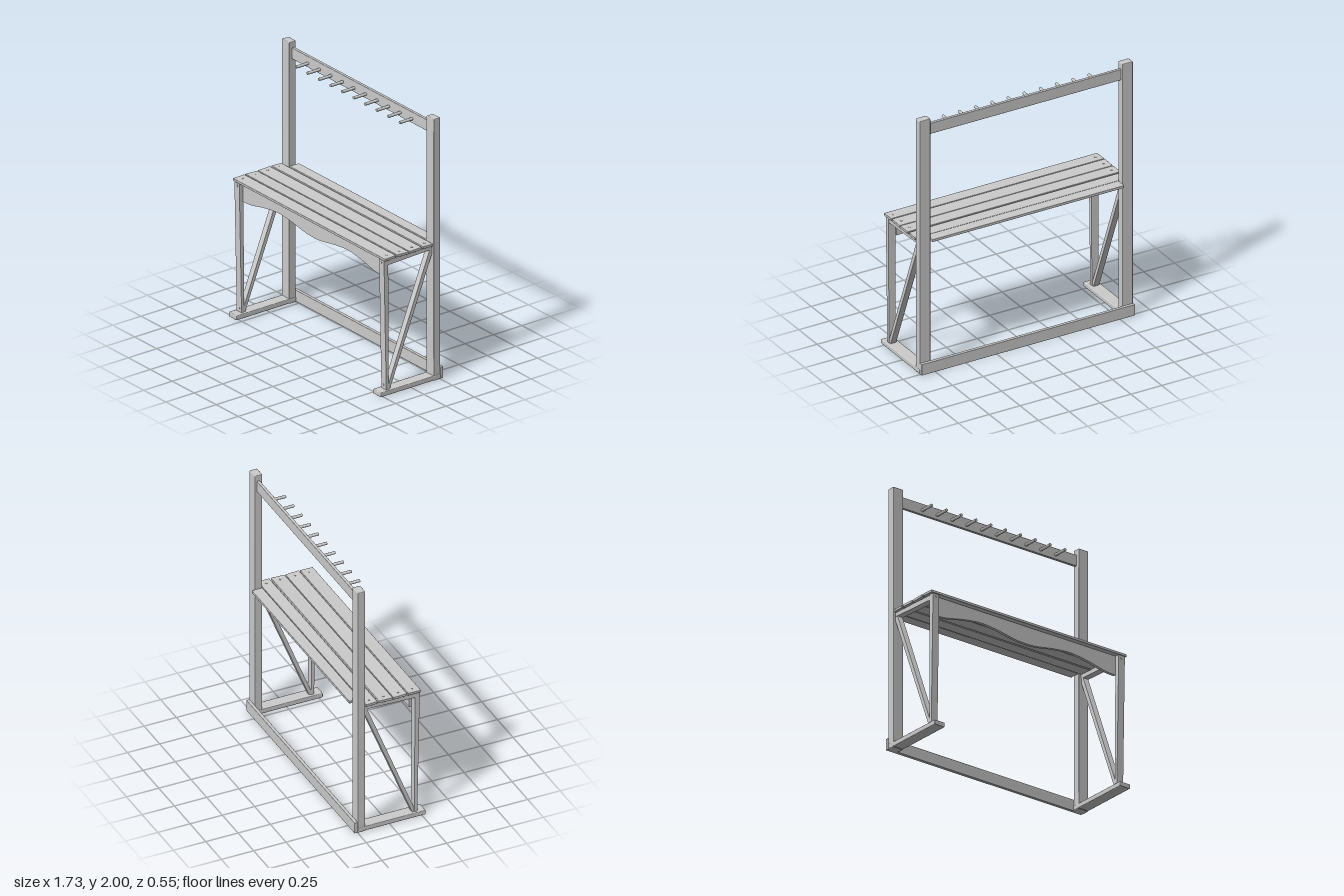
import * as THREE from 'three';
import { RoundedBoxGeometry } from 'three/addons/geometries/RoundedBoxGeometry.js';

const mat = new THREE.MeshStandardMaterial({ color: 0xcccccc });

export function createModel() {
  const group = new THREE.Group();

  const add = (name, geo, x = 0, y = 0, z = 0) => {
    const mesh = new THREE.Mesh(geo, mat);
    mesh.name = name;
    mesh.position.set(x, y, z);
    group.add(mesh);
    return mesh;
  };

  // Slightly eased timber spanning the given ranges
  const board = (name, [x0, x1], [y0, y1], [z0, z1], r = 0.003) =>
    add(name, new RoundedBoxGeometry(x1 - x0, y1 - y0, z1 - z0, 1, r),
      (x0 + x1) / 2, (y0 + y1) / 2, (z0 + z1) / 2);

  // Side outline given as [z, y] points, extruded along x around xc
  const sidePiece = (name, points, xc, width) => {
    const shape = new THREE.Shape(points.map(([z, y]) => new THREE.Vector2(-z, y)));
    const geo = new THREE.ExtrudeGeometry(shape, { depth: width, bevelEnabled: false });
    geo.translate(0, 0, -width / 2).rotateY(Math.PI / 2);
    return add(name, geo, xc);
  };

  // Screw head or peg along z or y
  const rod = (name, r, len, x, y, z, alongZ) => {
    const mesh = add(name, new THREE.CylinderGeometry(r, r, len, 12), x, y, z);
    if (alongZ) mesh.rotation.x = Math.PI / 2;
    return mesh;
  };

  // Slats: centre z, width, tilt
  const slats = [
    [0.19, 0.1, 0.02], [0.08, 0.105, -0.04], [-0.032, 0.107, 0.03], [-0.141, 0.088, -0.04],
  ];

  for (const s of [-1, 1]) {
    const side = s > 0 ? 'left' : 'right';
    const span = (a, b) => (s > 0 ? [a, b] : [-b, -a]);

    // End frame: foot, tall post, tapered front leg, seat bearer and diagonal brace
    board(side + 'Foot', span(0.775, 0.867), [0.005, 0.04], [-0.25, 0.277], 0.006);
    board(side + 'Post', span(0.778, 0.865), [0, 2], [-0.25, -0.19], 0.006);
    sidePiece(side + 'FrontLeg',
      [[0.195, 0.04], [0.217, 0.04], [0.237, 1.03], [0.2, 1.03]], s * 0.823, 0.055);
    sidePiece(side + 'SeatBearer',
      [[0.202, 0.99], [0.202, 1.028], [-0.19, 1.032], [-0.19, 1.003]], s * 0.823, 0.05);
    sidePiece(side + 'Brace',
      [[0.208, 0.04], [0.18, 0.04], [-0.19, 0.97], [-0.19, 1.03], [-0.18, 1.03]], s * 0.823, 0.045);

    // Screw heads
    for (const [y, z] of [[0.07, 0.218], [1.01, 0.237]])
      rod('legScrew', 0.008, 0.006, s * 0.82, y, z, true);
    for (const [z] of slats) rod('slatScrew', 0.008, 0.006, s * 0.82, 1.053, z, false);
  }

  // Seat slats, the last one fitted between the posts
  for (const [z, w, tilt] of slats) {
    const slat = board('seatSlat', [-0.865, 0.865], [1.034, 1.053], [z - w / 2, z + w / 2]);
    slat.rotation.x = tilt;
  }
  board('rearSlat', [-0.778, 0.778], [1.035, 1.055], [-0.275, -0.192]);

  // Apron with a wavy lower edge
  const apron = new THREE.Shape();
  apron.moveTo(-0.796, 1.03);
  apron.lineTo(-0.796, 0.885);
  apron.splineThru([[-0.7, 0.892], [-0.55, 0.924], [-0.4, 0.942], [-0.25, 0.93], [-0.1, 0.904],
    [0, 0.898], [0.1, 0.904], [0.25, 0.93], [0.4, 0.942], [0.55, 0.924], [0.7, 0.892],
    [0.796, 0.885]].map(([x, y]) => new THREE.Vector2(x, y)));
  apron.lineTo(0.796, 1.03);
  add('apron', new THREE.ExtrudeGeometry(apron, { depth: 0.022, bevelEnabled: false, curveSegments: 6 }),
    0, 0, 0.18);

  // Long rails
  board('bottomRail', [-0.865, 0.865], [0.003, 0.09], [-0.275, -0.25]);
  board('pegRail', [-0.778, 0.778], [1.87, 1.955], [-0.235, -0.212]);

  // Row of pegs
  for (let i = 0; i < 10; i++)
    rod('peg', 0.011, 0.12, -0.592 + i * 0.1313, 1.903, -0.163, true);

  return group;
}
